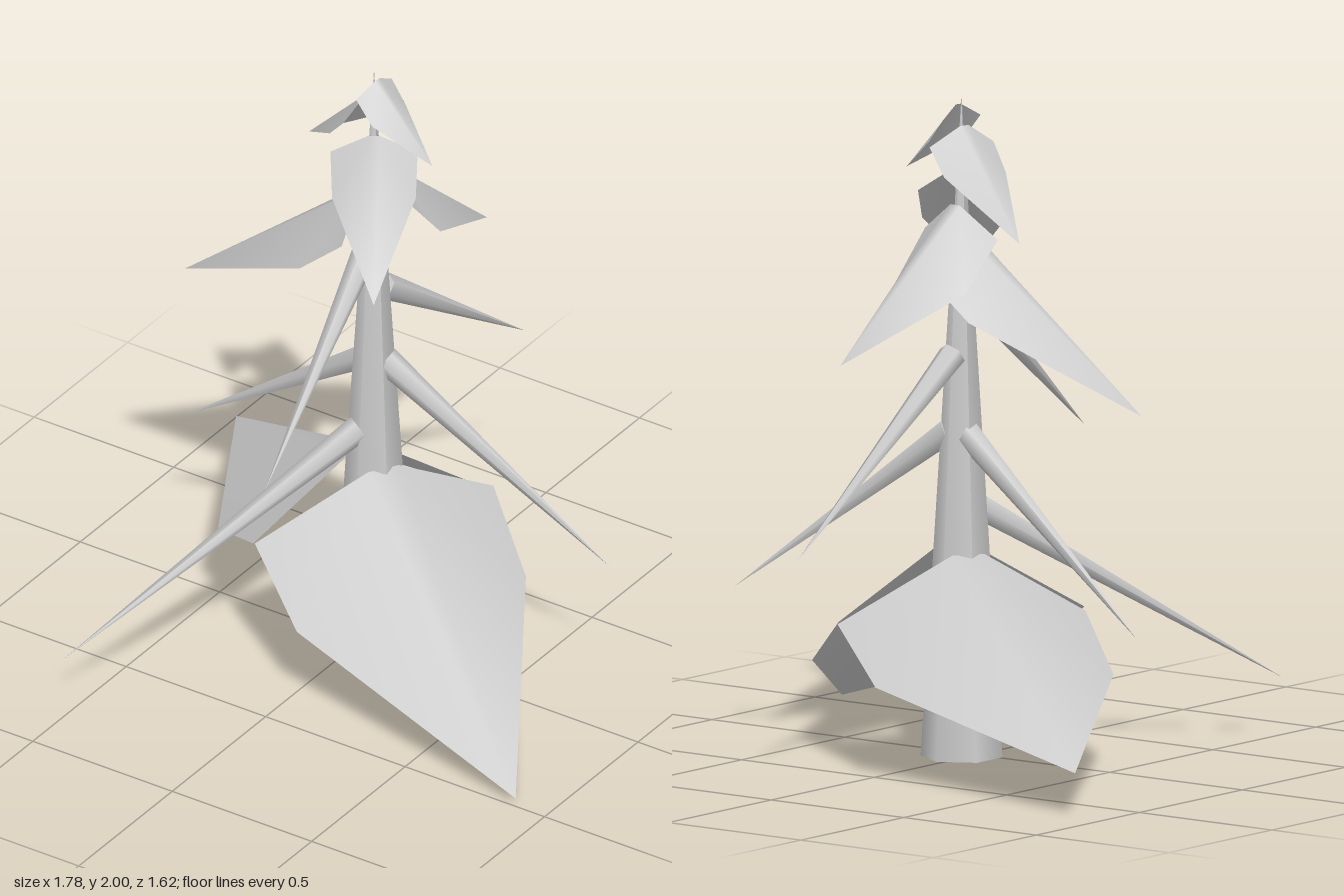
import * as THREE from 'three';

const AX = 0.02, AZ = -0.05; // trunk axis

export function createModel() {
  const group = new THREE.Group();
  const mat = new THREE.MeshStandardMaterial({ color: 0xcccccc });
  const sheet = new THREE.MeshStandardMaterial({ color: 0xcccccc, side: THREE.DoubleSide });
  const add = (name, geo, material) => {
    const mesh = new THREE.Mesh(geo, material);
    mesh.name = name;
    group.add(mesh);
    return mesh;
  };

  // Tapered six-sided trunk
  add('trunk', new THREE.ConeGeometry(0.123, 2, 6), mat).position.set(AX, 1, AZ);

  // Drooping spike branches: base centre, tip
  const branches = [
    [[0.0, 0.985, -0.055], [-0.74, 0.45, -0.175]],
    [[0.055, 0.985, -0.06], [0.78, 0.45, -0.175]],
    [[0.0, 0.755, 0.0], [-0.52, 0.18, 0.81]],
    [[0.022, 1.405, -0.02], [0.09, 0.9, 0.64]],
    [[0.022, 1.22, -0.09], [0.05, 0.69, -0.81]],
  ];
  for (const [from, to] of branches) {
    const a = new THREE.Vector3(...from), b = new THREE.Vector3(...to);
    const dir = b.clone().sub(a);
    const mesh = add('branch', new THREE.ConeGeometry(0.042, dir.length(), 6), mat);
    mesh.position.copy(a).add(b).multiplyScalar(0.5);
    mesh.quaternion.setFromUnitVectors(new THREE.Vector3(0, 1, 0), dir.normalize());
  }

  // Thin arched leaf: narrow top, two wide shoulders per side, pointed tip
  function leaf(tip, half, topY, shoulderY, sideY, sideU) {
    const dx = tip[0] - AX, dz = tip[2] - AZ, len = Math.hypot(dx, dz);
    const cx = dx / len, cz = dz / len;
    const at = (u, v, y) => [AX + cx * u - cz * v, y, AZ + cz * u + cx * v];
    const topU = half * 0.17, topV = half * 0.13;
    const points = [
      at(topU, topV, topY), at(0, half, shoulderY), at(sideU, half * 0.96, sideY),
      tip,
      at(sideU, -half * 0.96, sideY), at(0, -half, shoulderY), at(topU, -topV, topY),
    ];
    const geo = new THREE.BufferGeometry();
    geo.setAttribute('position', new THREE.Float32BufferAttribute(points.flat(), 3));
    geo.setIndex([0, 1, 2, 0, 2, 3, 0, 3, 6, 6, 3, 4, 6, 4, 5]);
    geo.computeVertexNormals();
    add('leaf', geo, sheet);
  }

  // Lower pair of large leaves
  leaf([0.89, 0.02, 0.49], 0.39, 0.63, 0.43, 0.27, 0.27);
  leaf([-0.89, 0.13, -0.67], 0.388, 0.62, 0.42, 0.28, 0.32);
  // Smaller leaves spiralling up to the top
  leaf([-0.63, 1.09, -0.01], 0.19, 1.58, 1.48, 1.35, 0.15);
  leaf([0.09, 1.24, -0.55], 0.155, 1.67, 1.58, 1.43, 0.13);
  leaf([0.24, 1.42, 0.28], 0.13, 1.78, 1.71, 1.61, 0.1);
  leaf([-0.3, 1.6, -0.18], 0.11, 1.91, 1.85, 1.77, 0.08);
  leaf([0.25, 1.755, -0.02], 0.08, 1.97, 1.93, 1.86, 0.06);

  return group;
}
